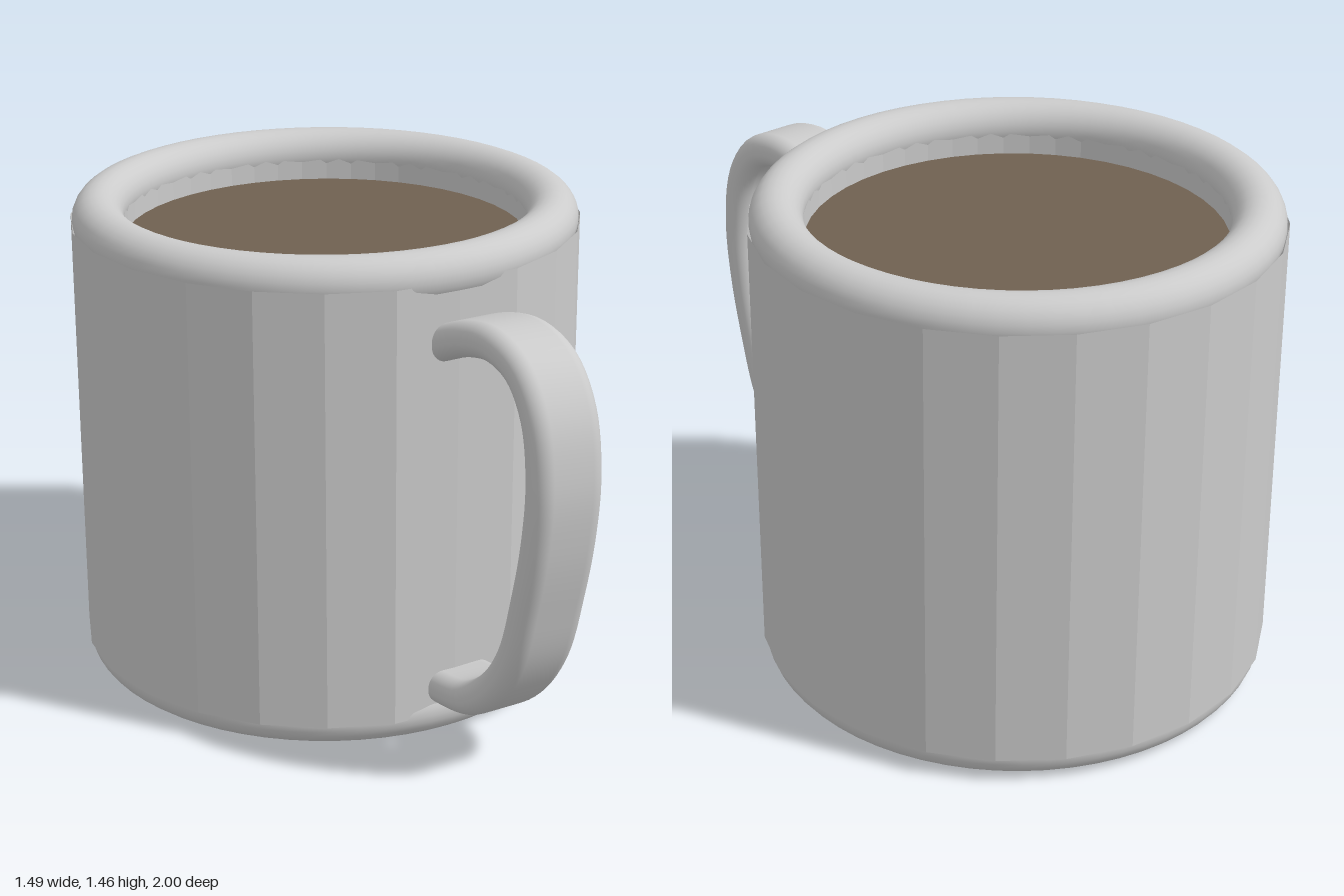
import * as THREE from 'three';
import { mergeVertices } from 'three/addons/utils/BufferGeometryUtils.js';

const CENTER_Z = -0.255;

export function createModel() {
  const model = new THREE.Group();
  model.name = 'mug';

  const glaze = new THREE.MeshStandardMaterial({ color: 0xcccccc });
  const facetedGlaze = new THREE.MeshStandardMaterial({
    color: 0xcccccc, flatShading: true, side: THREE.DoubleSide,
  });
  const coffee = new THREE.MeshStandardMaterial({ color: 0x6f6050 });

  function add(name, geometry, material, x, y, z) {
    const mesh = new THREE.Mesh(geometry, material);
    mesh.name = name;
    mesh.position.set(x, y, z);
    model.add(mesh);
    return mesh;
  }

  // Faceted outer wall, slightly flattened where the handle joins
  const wall = new THREE.CylinderGeometry(0.745, 0.745, 1.3, 24, 1, true);
  const p = wall.attributes.position;
  for (let i = 0; i < p.count; i++) p.setZ(i, Math.min(p.getZ(i), 0.73));
  add('outerWall', wall, facetedGlaze, 0, 0.725, CENTER_Z);

  // Rounded rim and rounded foot
  const ring = new THREE.TorusGeometry(0.663, 0.075, 24, 64).rotateX(Math.PI / 2);
  add('rim', ring, glaze, 0, 1.38, CENTER_Z);
  add('foot', ring, glaze, 0, 0.075, CENTER_Z);

  // Inside wall between rim and drink
  add('innerWall', new THREE.CylinderGeometry(0.59, 0.59, 0.1, 48, 1, true),
    facetedGlaze, 0, 1.335, CENTER_Z);

  // Drink surface and underside
  add('coffee', new THREE.CircleGeometry(0.592, 48).rotateX(-Math.PI / 2),
    coffee, 0, 1.31, CENTER_Z);
  add('base', new THREE.CircleGeometry(0.63, 48).rotateX(Math.PI / 2),
    glaze, 0, 0.015, CENTER_Z);

  // Handle: rounded strap swept along a loop in the side plane, as [z, y]
  const path = new THREE.CatmullRomCurve3([
    [0.42, 1.18], [0.48, 1.21], [0.6, 1.255], [0.72, 1.272], [0.84, 1.235],
    [0.92, 1.13], [0.95, 0.96], [0.935, 0.78], [0.895, 0.6], [0.835, 0.41],
    [0.74, 0.275], [0.62, 0.19], [0.48, 0.16], [0.42, 0.155],
  ].map(([z, y]) => new THREE.Vector3(0, y, z)));

  const w = 0.1075, t = 0.05, r = 0.046;
  const strap = new THREE.Shape();
  strap.absarc(w - r, t - r, r, 0, Math.PI / 2);
  strap.absarc(r - w, t - r, r, Math.PI / 2, Math.PI);
  strap.absarc(r - w, r - t, r, Math.PI, Math.PI * 1.5);
  strap.absarc(w - r, r - t, r, Math.PI * 1.5, Math.PI * 2);
  let handle = new THREE.ExtrudeGeometry(strap, {
    steps: 64, curveSegments: 6, bevelEnabled: false, extrudePath: path,
  });
  handle.deleteAttribute('uv');
  handle.deleteAttribute('normal');
  handle = mergeVertices(handle, 1e-4);
  handle.computeVertexNormals();
  add('handle', handle, glaze, 0.022, 0, 0);

  return model;
}
